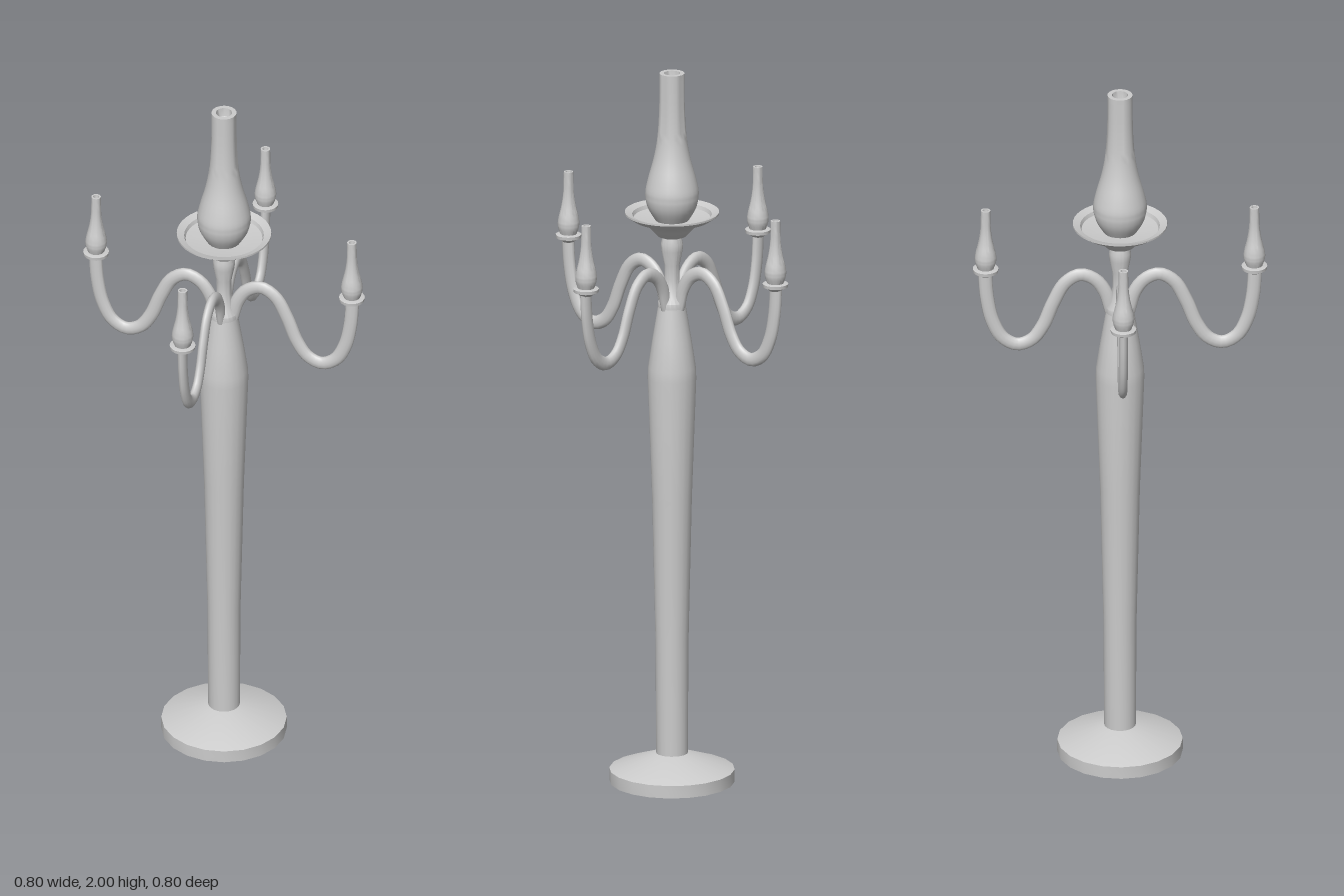
import * as THREE from 'three';
import { toCreasedNormals } from 'three/addons/utils/BufferGeometryUtils.js';

const material = new THREE.MeshStandardMaterial({ color: 0xcccccc, side: THREE.DoubleSide });

// Turned part from [radius, height] pairs
function turned(name, profile, sides, crease = 0.6) {
  const points = profile.map(([r, y]) => new THREE.Vector2(r, y));
  const geometry = toCreasedNormals(new THREE.LatheGeometry(points, sides), crease);
  const mesh = new THREE.Mesh(geometry, material);
  mesh.name = name;
  return mesh;
}

// Smooth run of profile points through a few control points
function smoothProfile(points, count) {
  const curve = new THREE.SplineCurve(points.map(([r, y]) => new THREE.Vector2(r, y)));
  return curve.getPoints(count).map((p) => [p.x, p.y]);
}

// One S-shaped arm with its cup and candle, reaching along +x
function createArm() {
  const arm = new THREE.Group();
  const path = new THREE.CatmullRomCurve3([
    [0.022, 1.34], [0.04, 1.4], [0.068, 1.438], [0.107, 1.453], [0.147, 1.43],
    [0.18, 1.37], [0.208, 1.3], [0.238, 1.258], [0.278, 1.243], [0.318, 1.264],
    [0.345, 1.315], [0.36, 1.385], [0.366, 1.465],
  ].map(([x, y]) => new THREE.Vector3(x, y, 0)));
  const tube = new THREE.TubeGeometry(path, 48, 0.019, 12, false);
  tube.scale(1, 1, 0.65); // arms are narrower across than deep
  const branch = new THREE.Mesh(tube, material);
  branch.name = 'armBranch';

  const cup = turned('armCup', [
    [0, 1.452], [0.016, 1.455], [0.024, 1.462], [0.034, 1.466],
    [0.035, 1.475], [0.027, 1.477], [0, 1.477],
  ], 20);
  const candle = turned('armCandle', [
    ...smoothProfile([[0.022, 1.475], [0.029, 1.498], [0.028, 1.52],
      [0.019, 1.56], [0.014, 1.6], [0.013, 1.652]], 18),
    [0.008, 1.652], [0.007, 1.64], [0, 1.63],
  ], 16);
  cup.position.x = candle.position.x = 0.364;
  arm.add(branch, cup, candle);
  return arm;
}

export function createModel() {
  const model = new THREE.Group();
  model.name = 'candelabra';

  // Foot and tapering column
  model.add(turned('base', [
    [0, 0], [0.17, 0], [0.17, 0.035], [0.045, 0.08], [0, 0.08],
  ], 20));
  model.add(turned('column', [
    [0.043, 0.075], [0.045, 0.4], [0.054, 0.8], [0.066, 1.14],
    [0.065, 1.17], [0.053, 1.25], [0.038, 1.34], [0, 1.345],
  ], 20));

  // Hub and stem between the column and the dish
  model.add(turned('stem', [
    [0.038, 1.34], [0.038, 1.355], [0.026, 1.375], [0.02, 1.42],
    [0.021, 1.46], [0.029, 1.5], [0.03, 1.52], [0.025, 1.54], [0.037, 1.555],
  ], 20));

  // Drip dish with a stepped rim
  model.add(turned('dish', [
    [0.022, 1.535], [0.04, 1.542], [0.058, 1.562], [0.075, 1.578],
    [0.105, 1.588], [0.128, 1.604], [0.128, 1.609], [0.108, 1.602],
    [0.104, 1.592], [0.06, 1.586], [0, 1.586],
  ], 40));

  // Large central candle with a hollow top
  model.add(turned('centreCandle', [
    ...smoothProfile([[0.045, 1.585], [0.066, 1.622], [0.073, 1.66], [0.066, 1.7],
      [0.05, 1.76], [0.04, 1.82], [0.035, 1.9], [0.034, 2]], 28),
    [0.022, 2], [0.02, 1.975], [0, 1.95],
  ], 24));

  // Four arms around the stem
  ['left', 'back', 'right', 'front'].forEach((side, i) => {
    const arm = createArm();
    arm.name = `${side}Arm`;
    arm.rotation.y = (i * Math.PI) / 2;
    model.add(arm);
  });
  return model;
}
